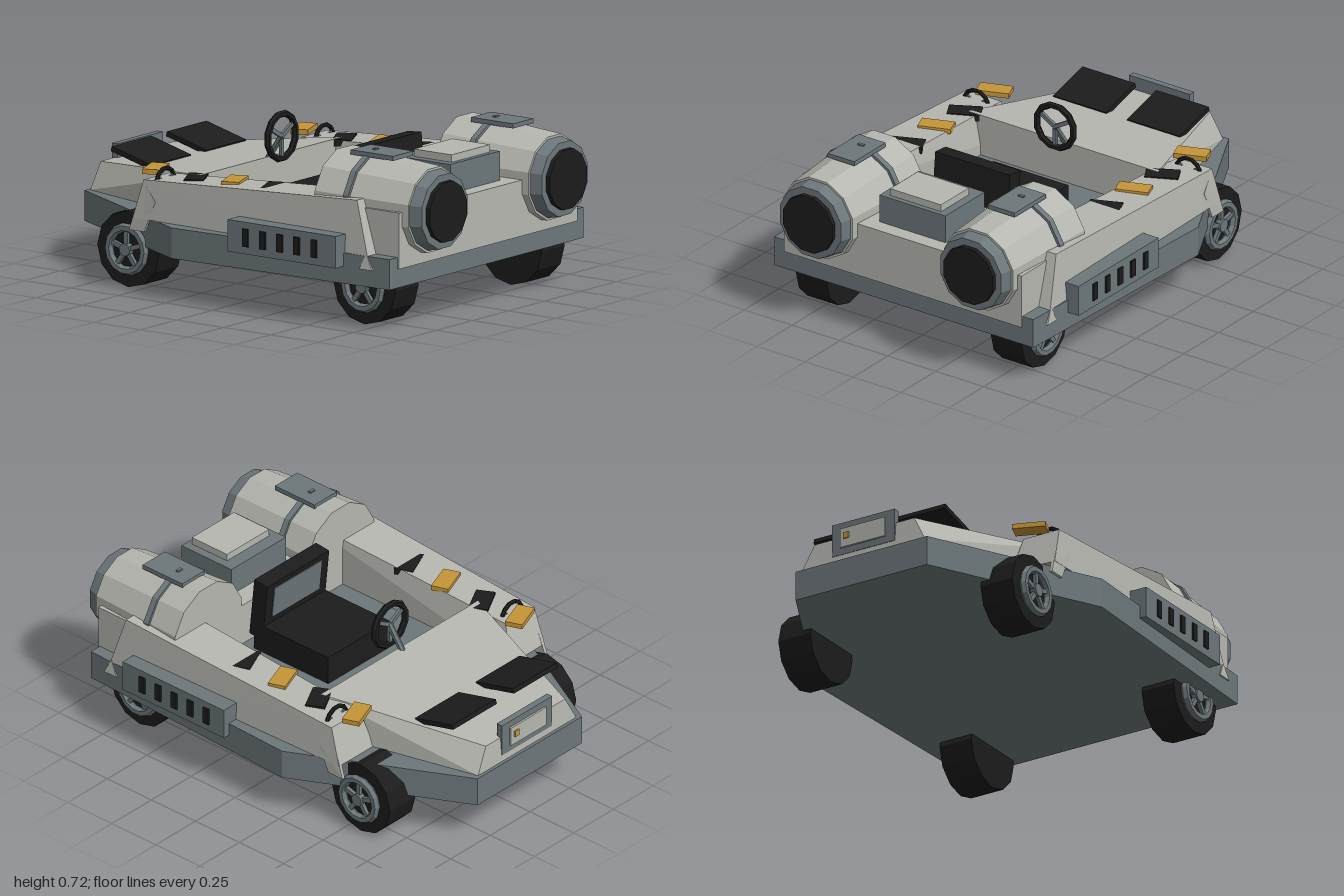
import * as THREE from 'three';
import { ConvexGeometry } from 'three/addons/geometries/ConvexGeometry.js';

const mat = (name, color) => new THREE.MeshStandardMaterial({ name, color });

export function createModel() {
  const light = mat('light grey', 0xb7b7b1);
  const grey = mat('blue grey', 0x6d777b);
  const black = mat('black', 0x1c1c1c);
  const orange = mat('orange', 0xc59638);

  const root = new THREE.Group();
  root.name = 'vehicle';

  // Adds a faceted mesh
  function add(name, geo, material, pos = [0, 0, 0], rot = [0, 0, 0], parent = root) {
    const g = geo.index ? geo.toNonIndexed() : geo;
    g.computeVertexNormals();
    const m = new THREE.Mesh(g, material);
    m.name = name;
    m.position.set(...pos);
    m.rotation.set(...rot);
    parent.add(m);
    return m;
  }
  // Box given by its min and max corners
  const box = (name, a, b, material, parent = root) => add(name,
    new THREE.BoxGeometry(b[0] - a[0], b[1] - a[1], b[2] - a[2]), material,
    a.map((v, i) => (v + b[i]) / 2), [0, 0, 0], parent);
  const convex = (name, pts, material) => add(name,
    new ConvexGeometry(pts.map(p => new THREE.Vector3(...p))), material);
  // Convex solid from points repeated on both sides of x = 0
  const symmetric = (name, pts, material) => convex(name,
    pts.flatMap(([x, y, z]) => [[x, y, z], [-x, y, z]]), material);
  // Twelve-sided drum along z, flat side up
  const drum = (rFront, rBack, length) => new THREE.CylinderGeometry(
    rFront, rBack, length, 12, 1, false, Math.PI / 12).rotateX(Math.PI / 2);

  // Steering wheel with three spokes and a column
  function steeringWheel(name, x, y, z, scale) {
    const g = new THREE.Group();
    g.name = name;
    g.position.set(x, y, z);
    g.scale.setScalar(scale);
    root.add(g);
    add('ring', new THREE.TorusGeometry(0.098, 0.015, 6, 12).rotateZ(Math.PI / 12), black,
      [0, 0, 0], [0, 0, 0], g);
    for (let i = 0; i < 3; i++)
      add('spoke', new THREE.BoxGeometry(0.018, 0.095, 0.014).translate(0, 0.048, 0), grey,
        [0, 0, 0], [0, 0, Math.PI / 3 + i * Math.PI * 2 / 3], g);
    add('column', new THREE.CylinderGeometry(0.014, 0.014, 0.13, 6), grey,
      [0, -0.05, -0.035], [0.61, 0, 0], g);
  }

  // Lower hull
  const outline = [[0.33, -1], [0.72, -0.24], [0.675, 0.885]];
  symmetric('lowerHull', outline.flatMap(([x, z]) => [[x, 0.188, z], [x, 0.32, z]]), grey);

  // Sloping hood and rear deck
  symmetric('hood', [
    [0.31, 0.32, -0.985], [0.25, 0.435, -0.975],
    [0.5, 0.32, -0.26], [0.495, 0.507, -0.26],
  ], light);
  box('rearDeck', [-0.62, 0.27, 0.45], [0.62, 0.512, 0.893], light);

  for (const s of [1, -1]) {
    const side = pts => pts.map(([x, y, z]) => [s * x, y, z]);
    // Side body with slanted ends
    convex('sideBody', side([
      [0.43, 0.32, 0.77], [0.68, 0.32, 0.77], [0.43, 0.55, 0.7], [0.66, 0.55, 0.7],
      [0.43, 0.32, -0.5], [0.65, 0.32, -0.5], [0.46, 0.488, -0.45], [0.64, 0.488, -0.45],
    ]), light);
    // Fender points hanging below the side body
    convex('frontFenderPoint', side([
      [0.625, 0.48, -0.45], [0.64, 0.48, -0.45], [0.64, 0.4, -0.38], [0.65, 0.4, -0.38],
      [0.635, 0.265, -0.52], [0.65, 0.265, -0.52], [0.635, 0.265, -0.44], [0.65, 0.265, -0.44],
    ]), light);
    convex('rearFenderPoint', side([
      [0.66, 0.33, 0.765], [0.68, 0.33, 0.765],
      [0.66, 0.262, 0.73], [0.688, 0.262, 0.73], [0.66, 0.262, 0.8], [0.688, 0.262, 0.8],
    ]), light);

    // Side vent box with five slots
    const vent = new THREE.Group();
    vent.name = 'sideVent';
    root.add(vent);
    add('ventBox', new THREE.BoxGeometry(0.09, 0.138, 0.575), grey,
      [s * 0.695, 0.331, 0.36], [0, 0, 0], vent);
    for (let i = 0; i < 5; i++)
      add('ventSlot', new THREE.BoxGeometry(0.009, 0.077, 0.031), black,
        [s * 0.743, 0.333, 0.17 + i * 0.091], [0, 0, 0], vent);

    // Engine pod
    const pod = new THREE.Group();
    pod.name = 'enginePod';
    pod.position.set(s * 0.418, 0.498, 0);
    root.add(pod);
    add('podBody', drum(0.186, 0.217, 0.475), light, [0, 0, 0.6875], [0, 0, 0], pod);
    add('podLip', drum(0.164, 0.176, 0.055), grey, [0, 0, 0.9525], [0, 0, 0], pod);
    add('podIntake', drum(0.133, 0.133, 0.03), black, [0, 0, 0.985], [0, 0, 0], pod);
    add('podBand', drum(0.218, 0.218, 0.028), grey, [0, 0, 0.615], [0, 0, 0], pod);
    box('podTopPlate', [-0.07, 0.2, 0.535], [0.07, 0.22, 0.76], grey, pod);
    box('podPin', [-0.014, 0.22, 0.608], [0.014, 0.226, 0.622], grey, pod);

    // Hood panel tilted up toward the nose
    add('hoodPanel', new THREE.BoxGeometry(0.275, 0.022, 0.218), black,
      [s * 0.192, 0.49, -0.753], [0.25, 0, 0]);

    // Orange blocks and half-sunken black wedges on the side deck
    for (const z of [-0.48, -0.06])
      add('orangeBlock', new THREE.BoxGeometry(0.145, 0.022, 0.078), orange,
        [s * 0.515, 0.511, z], [0, 0.36, 0]);
    for (const [z, top, turn] of [[-0.265, 0.505, 0.5], [0.15, 0.5206, 0.4]])
      add('blackWedge', new THREE.BoxGeometry(0.145, 0.03, 0.085), black,
        [s * 0.515, top - 0.015, z], [0, turn, 0]);

    // Small half-sunken control wheel
    steeringWheel('sideControl', s * 0.553, 0.468, -0.4, 0.65);

    // Wheels with five-spoked rims
    for (const [name, z] of [['noseWheel', -0.57], ['engineWheel', 0.685]]) {
      const wheel = new THREE.Group();
      wheel.name = name;
      wheel.position.set(s * 0.508, 0.165, z);
      wheel.rotation.y = s > 0 ? 0 : Math.PI;
      root.add(wheel);
      const disc = (r, w) => new THREE.CylinderGeometry(r, r, w, 12).rotateZ(Math.PI / 2);
      add('tyre', disc(0.165, 0.16), black, [0, 0, 0], [0, 0, 0], wheel);
      add('rim', new THREE.TorusGeometry(0.094, 0.02, 6, 14).rotateY(Math.PI / 2), grey,
        [0.09, 0, 0], [0, 0, 0], wheel);
      add('hub', disc(0.028, 0.03), grey, [0.094, 0, 0], [0, 0, 0], wheel);
      for (let i = 0; i < 5; i++)
        add('wheelSpoke', new THREE.BoxGeometry(0.016, 0.085, 0.02).translate(0, 0.045, 0), grey,
          [0.092, 0, 0], [i * Math.PI * 0.4, 0, 0], wheel);
    }
  }

  // Engine cover between the pods
  box('coverBase', [-0.172, 0.51, 0.54], [0.172, 0.638, 0.823], grey);
  box('coverLid', [-0.133, 0.638, 0.6], [0.133, 0.67, 0.8], light);

  // Seat
  const seat = new THREE.Group();
  seat.name = 'seat';
  root.add(seat);
  box('cushion', [-0.195, 0.32, 0.03 - 0.06], [0.195, 0.45, 0.39], black, seat);
  add('backrest', new THREE.BoxGeometry(0.39, 0.28, 0.075), black, [0, 0.52, 0.366], [-0.1, 0, 0], seat);
  add('backrestPad', new THREE.BoxGeometry(0.3, 0.15, 0.009), grey, [0, 0.555, 0.325], [-0.1, 0, 0], seat);

  steeringWheel('steeringWheel', 0, 0.6, -0.205, 1);

  // Nose plate
  box('nosePlate', [-0.158, 0.35, -0.985], [0.158, 0.497, -0.955], grey);
  box('nosePlateFace', [-0.112, 0.38, -0.994], [0.112, 0.467, -0.985], light);
  box('nosePlateMark', [0.066, 0.416, -1], [0.092, 0.444, -0.994], orange);

  return root;
}
